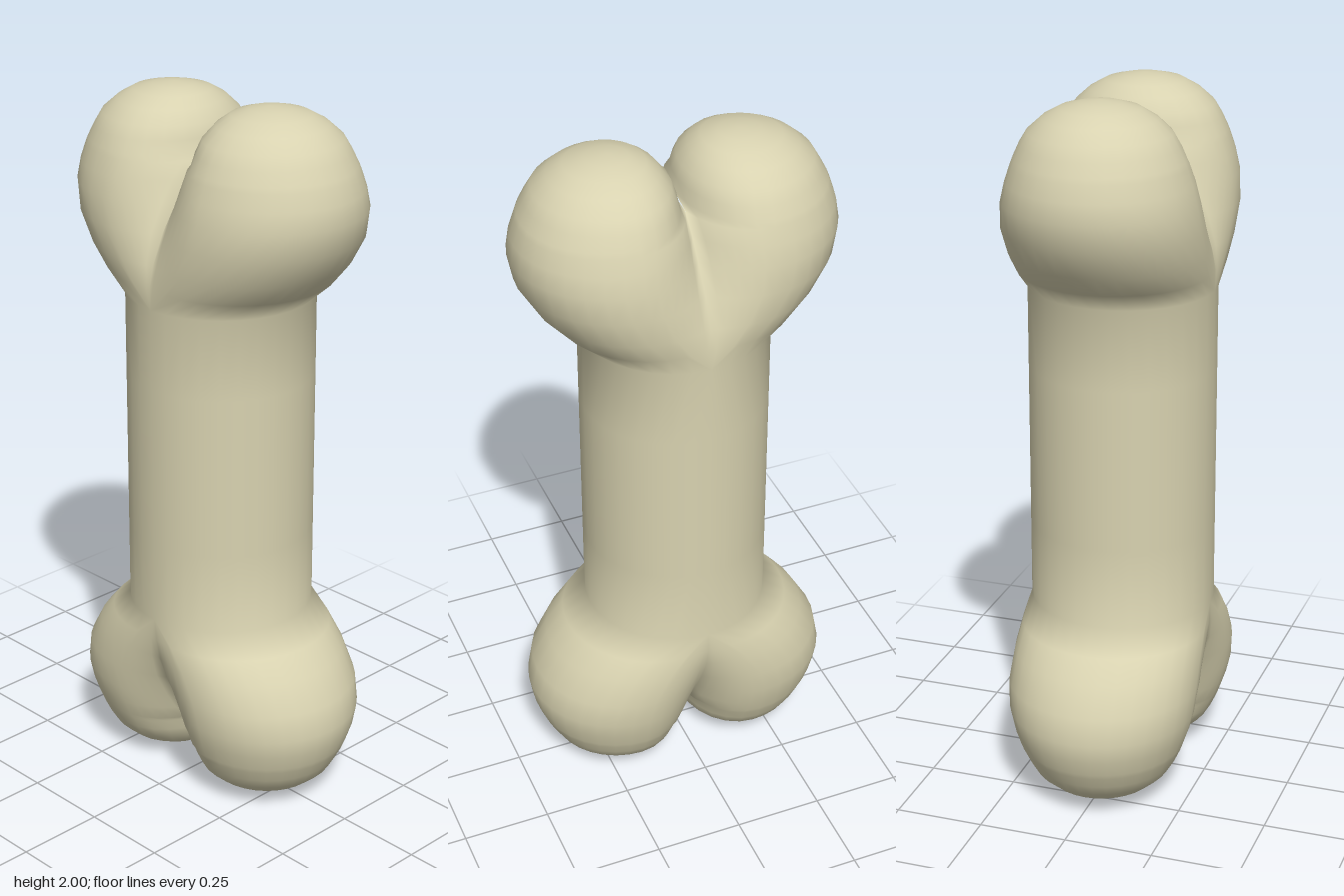
import * as THREE from 'three';
import { mergeVertices } from 'three/addons/utils/BufferGeometryUtils.js';

// Cross-section keys from shaft end to knob tip:
// height, lobe centre x, outer x, half depth z, inner x, valley depth z
const KNOB = [
  [1.46, 0, 0.26, 0.26, 0, 0.26],
  [1.52, 0.07, 0.33, 0.264, 0, 0.262],
  [1.58, 0.12, 0.383, 0.268, 0, 0.25],
  [1.66, 0.165, 0.43, 0.27, 0, 0.215],
  [1.735, 0.18, 0.445, 0.263, 0, 0.165],
  [1.79, 0.18, 0.437, 0.25, 0, 0.125],
  [1.835, 0.18, 0.422, 0.235, 0, 0.08],
  [1.85, 0.18, 0.416, 0.229, 0.003, 0],
  [1.885, 0.18, 0.398, 0.213, 0.01, 0],
  [1.92, 0.18, 0.378, 0.192, 0.022, 0],
  [1.955, 0.18, 0.338, 0.153, 0.05, 0],
  [1.98, 0.18, 0.295, 0.108, 0.082, 0],
  [1.993, 0.18, 0.24, 0.056, 0.125, 0],
  [2, 0.18, 0.18, 0, 0.18, 0],
];
const INNER = 6;
const OUTER = 16;

// Half section from the front valley, around the outside, to the back valley
function halfSection([y, c, outer, rz, inner, valley]) {
  const t0 = rz > 0 ? Math.asin(Math.min(valley / rz, 0.9999)) : 0;
  const w = (c - inner) / Math.cos(t0);
  const front = [];
  for (let i = 0; i < INNER; i++) {
    const t = t0 + (Math.PI / 2 - t0) * i / INNER;
    front.push([c - w * Math.cos(t), y, rz * Math.sin(t)]);
  }
  const around = [];
  for (let i = 0; i <= OUTER; i++) {
    const a = Math.PI * i / OUTER;
    around.push([c + (outer - c) * Math.sin(a), y, rz * Math.cos(a)]);
  }
  const back = front.map(([x, h, z]) => [x, h, -z]).reverse();
  return [...front, ...around, ...back];
}

function boneGeometry() {
  // Both ends share the same knob, turned over at the bottom
  const lower = KNOB.map(([y, ...rest]) => [2 - y, ...rest]).reverse();
  const shaft = [0.77, 1, 1.23].map((y) => [y, ...KNOB[0].slice(1)]);
  const rows = [...lower, ...shaft, ...KNOB].map(halfSection);
  const n = rows[0].length;
  const positions = [];
  const indices = [];
  for (const side of [1, -1]) {
    const base = positions.length / 3;
    rows.flat().forEach(([x, y, z]) => positions.push(side * x, y, z));
    for (let j = 0; j < rows.length - 1; j++) {
      for (let i = 0; i < n - 1; i++) {
        const a = base + j * n + i, b = a + 1, d = a + n, c = d + 1;
        if (side > 0) indices.push(a, b, c, a, c, d);
        else indices.push(a, c, b, a, d, c);
      }
    }
  }
  const raw = new THREE.BufferGeometry();
  raw.setAttribute('position', new THREE.Float32BufferAttribute(positions, 3));
  raw.setIndex(indices);
  // Weld the two halves along the middle for a continuous smooth surface
  const geometry = mergeVertices(raw, 1e-3);
  geometry.computeVertexNormals();
  return geometry;
}

export function createModel() {
  const group = new THREE.Group();
  group.name = 'bone';
  const material = new THREE.MeshStandardMaterial({ color: 0xd8d2b0 });
  const bone = new THREE.Mesh(boneGeometry(), material);
  bone.name = 'shaftAndKnobs';
  group.add(bone);
  return group;
}
